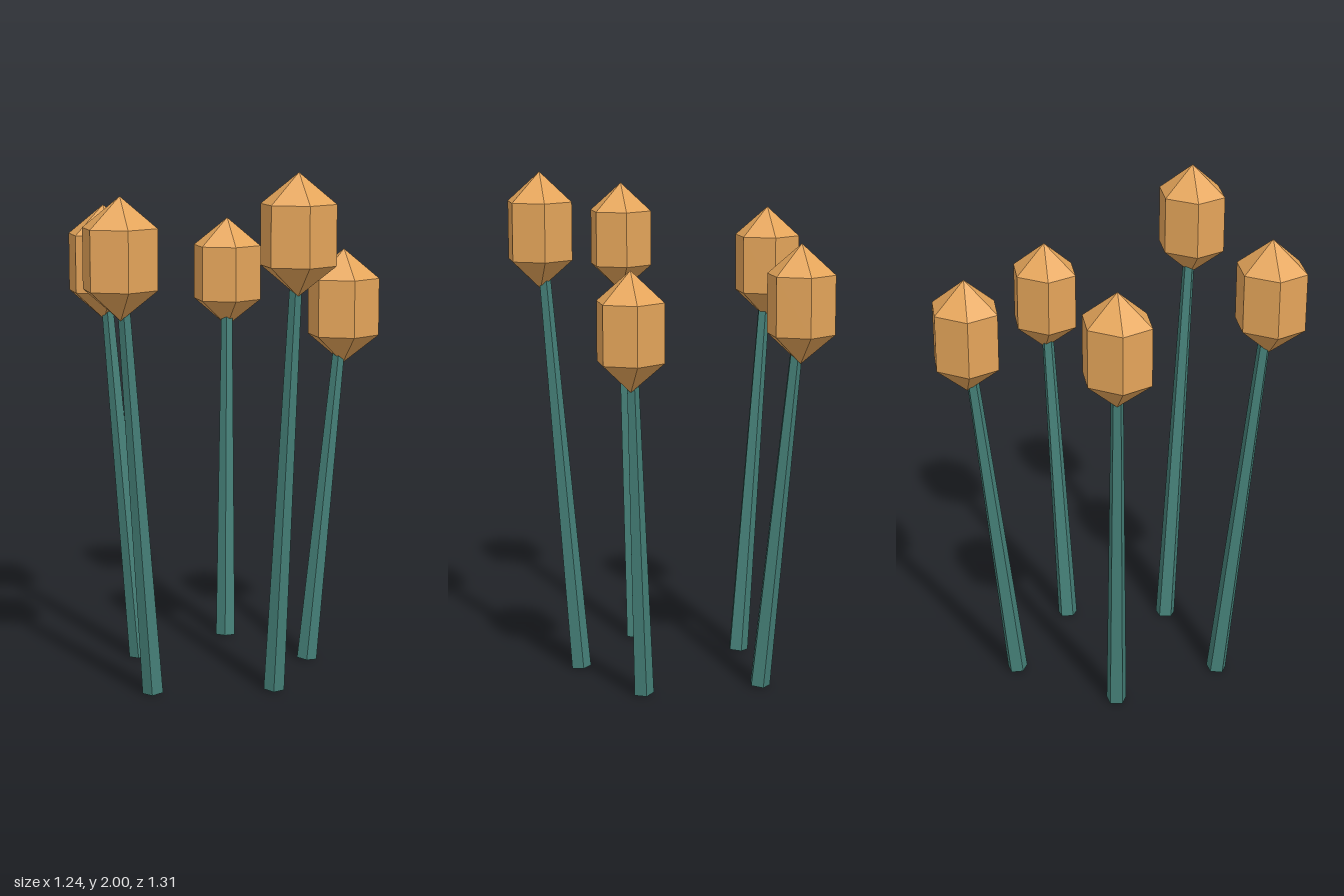
import * as THREE from 'three';

export function createModel() {
  const group = new THREE.Group();
  const stemMat = new THREE.MeshStandardMaterial({ color: 0x458078, flatShading: true });
  const budMat = new THREE.MeshStandardMaterial({ color: 0xe5a55a, flatShading: true });

  // Six-sided bud, pointed at both ends, slightly wider across x
  const profile = [[0, -0.2275], [1, -0.1125], [1, 0.1125], [0, 0.2275]];
  const budGeo = new THREE.LatheGeometry(profile.map(([r, y]) => new THREE.Vector2(r, y)), 6);
  budGeo.scale(0.145, 1, 0.132);

  // Stem foot [x, z] and bud centre [x, y, z] of each stalk
  const stalks = [
    { foot: [0.35, 0.046], bud: [0.491, 1.442, 0.046] },
    { foot: [0.103, 0.388], bud: [0.146, 1.773, 0.523] },
    { foot: [-0.358, 0.302], bud: [-0.495, 1.69, 0.4] },
    { foot: [-0.3, -0.165], bud: [-0.414, 1.612, -0.249] },
    { foot: [0.123, -0.363], bud: [0.176, 1.527, -0.526] },
  ];

  for (const { foot, bud } of stalks) {
    const stalk = new THREE.Group();
    stalk.name = 'stalk';
    const start = new THREE.Vector3(foot[0], 0.005, foot[1]);
    const end = new THREE.Vector3(...bud);
    const axis = end.clone().sub(start);

    // Tapered five-sided stem leaning outward, ending inside the bud
    const stem = new THREE.Mesh(
      new THREE.CylinderGeometry(0.022, 0.0415, axis.length(), 5, 1, false, -Math.PI / 2), stemMat);
    stem.name = 'stem';
    stem.position.copy(start).add(end).multiplyScalar(0.5);
    stem.quaternion.setFromUnitVectors(new THREE.Vector3(0, 1, 0), axis.normalize());

    // Upright bud
    const head = new THREE.Mesh(budGeo, budMat);
    head.name = 'bud';
    head.position.copy(end);

    stalk.add(stem, head);
    group.add(stalk);
  }
  return group;
}
